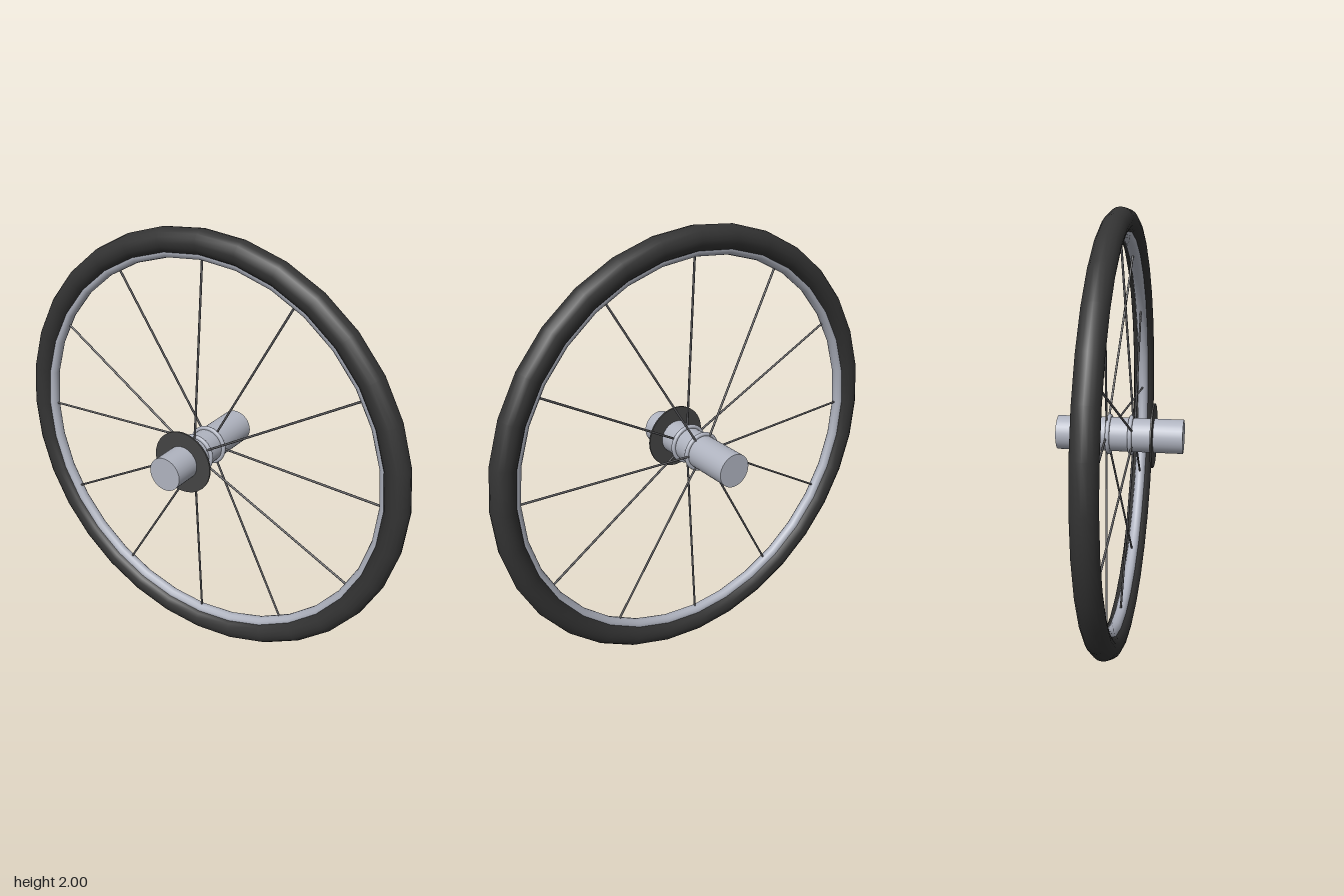
import * as THREE from 'three';

const paint = (color) => new THREE.MeshStandardMaterial({ color });

export function createModel() {
  const wheel = new THREE.Group();
  wheel.name = 'wheel';
  wheel.position.y = 1;

  const rubber = paint(0x333333);
  const metal = paint(0xb0b4c0);
  const wire = paint(0x555558);
  const darkMetal = paint(0x444444);

  const add = (name, geometry, material, z = 0) => {
    const mesh = new THREE.Mesh(geometry, material);
    mesh.name = name;
    mesh.position.z = z;
    wheel.add(mesh);
    return mesh;
  };
  // cylinder lying along z
  const disc = (radius, length, sides = 32) =>
    new THREE.CylinderGeometry(radius, radius, length, sides).rotateX(Math.PI / 2);

  // tyre and the thinner rim nested inside it
  add('tyre', new THREE.TorusGeometry(0.945, 0.055, 16, 32), rubber);
  add('rim', new THREE.TorusGeometry(0.897, 0.027, 12, 32), metal);

  // axle, flange rings and brake disc
  add('axle', disc(0.077, 0.57), metal);
  for (const side of [1, -1]) {
    add('hubFlange', new THREE.TorusGeometry(0.082, 0.01, 10, 32), metal, side * 0.05);
  }
  add('brakeDisc', disc(0.145, 0.008), darkMetal, 0.15);

  // spokes run from alternating flanges to the middle of the rim
  const up = new THREE.Vector3(0, 1, 0);
  for (let i = 0; i < 12; i++) {
    const angle = (i / 12) * Math.PI * 2;
    const dir = new THREE.Vector3(Math.sin(angle), Math.cos(angle), 0);
    const start = dir.clone().multiplyScalar(0.075);
    start.z = i % 2 ? -0.058 : 0.058;
    const end = dir.clone().multiplyScalar(0.885);
    const span = end.clone().sub(start);
    const spoke = add('spoke', new THREE.CylinderGeometry(0.005, 0.005, span.length(), 8), wire);
    spoke.position.copy(start).add(end).multiplyScalar(0.5);
    spoke.quaternion.setFromUnitVectors(up, span.normalize());
  }

  const model = new THREE.Group();
  model.name = 'spokedWheel';
  model.add(wheel);
  return model;
}
